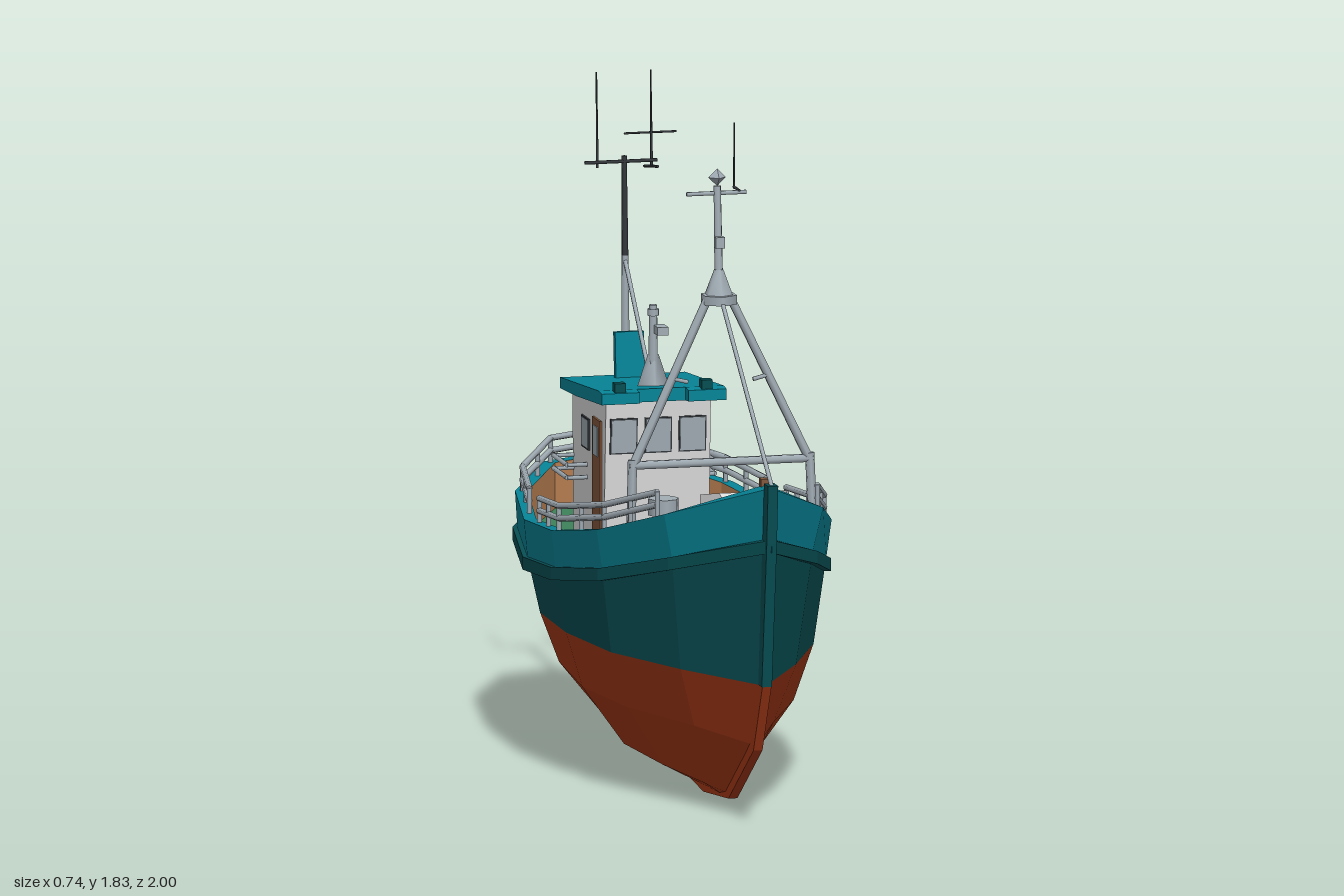
import * as THREE from 'three';

const mat = (name, color) => {
  const m = new THREE.MeshStandardMaterial({ color });
  m.name = name;
  return m;
};
const M = {
  teal: mat('teal', 0x068598), hull: mat('darkTeal', 0x074f54), red: mat('bottomRed', 0xa93a18),
  keel: mat('keelRed', 0x9c2f28), deck: mat('deckGreen', 0x3c8059), tan: mat('tanWood', 0xb98052),
  brown: mat('brownWood', 0x84583c), white: mat('white', 0xdcdcdc), grey: mat('grey', 0xa2adb5),
  dark: mat('darkMetal', 0x34383c),
};

// Hull levels, each running from stern to bow on the +x side
const level = (xs, ys, zs) => xs.map((x, i) => new THREE.Vector3(x, ys[i], zs[i]));
const RAIL = level([0, .155, .30, .36, .365, .325, .22, 0],
  [.70, .695, .668, .652, .68, .74, .835, .95], [-1, -.935, -.67, -.33, 0, .34, .67, .975]);
const RUB = level([0, .15, .295, .35, .355, .31, .195, 0],
  [.605, .60, .57, .55, .58, .635, .715, .81], [-.985, -.92, -.665, -.33, 0, .34, .655, .96]);
const WATER = level([0, .12, .25, .32, .325, .28, .16, 0],
  [.4, .4, .4, .4, .4, .4, .4, .4], [-.92, -.855, -.62, -.31, 0, .32, .61, .915]);
const BILGE = level([0, .09, .20, .27, .28, .23, .11, 0],
  [.32, .31, .28, .265, .25, .245, .235, .22], [-.87, -.80, -.58, -.30, 0, .30, .56, .82]);
const LOWER = level([0, .03, .09, .15, .165, .12, .05, 0],
  [.26, .235, .165, .115, .09, .075, .055, .04], [-.82, -.75, -.52, -.27, 0, .25, .45, .54]);
const BASE = level([0, 0, 0, 0, 0, 0, 0, 0],
  [.25, .21, .14, .07, .04, .012, .02, .035], [-.82, -.75, -.52, -.27, 0, .25, .45, .54]);

const raise = (lv, dy) => lv.map(p => p.clone().setY(p.y + dy));

// Move a level inward in plan by d, with mitred corners
function inset(lv, d) {
  const normal = (a, b) => new THREE.Vector2(b.z - a.z, a.x - b.x).normalize();
  return lv.map((p, i) => {
    const n2 = i < lv.length - 1 ? normal(p, lv[i + 1]) : null;
    const n1 = i > 0 ? normal(lv[i - 1], p) : new THREE.Vector2(-n2.x, n2.y);
    const m = n2 || new THREE.Vector2(-n1.x, n1.y);
    const k = d / (1 + n1.dot(m));
    return new THREE.Vector3(p.x - (n1.x + m.x) * k, p.y, p.z - (n1.y + m.y) * k);
  });
}

export function createModel() {
  const g = new THREE.Group();
  g.name = 'fishingBoat';
  const add = (name, geo, m, x = 0, y = 0, z = 0) => {
    const mesh = new THREE.Mesh(geo, m);
    mesh.name = name;
    mesh.position.set(x, y, z);
    g.add(mesh);
    return mesh;
  };
  const box = (name, m, w, h, d, x, y, z) => add(name, new THREE.BoxGeometry(w, h, d), m, x, y, z);
  const V = (x, y, z) => new THREE.Vector3(x, y, z);
  const rod = (name, m, a, b, r, r2 = r, sides = 6) => {
    const dir = b.clone().sub(a);
    const mesh = add(name, new THREE.CylinderGeometry(r2, r, dir.length(), sides), m);
    mesh.position.copy(a).add(b).multiplyScalar(.5);
    mesh.quaternion.setFromUnitVectors(V(0, 1, 0), dir.normalize());
    return mesh;
  };
  // Flat quads between two levels, mirrored to both sides
  const band = (name, m, A, B) => {
    const pos = [], nor = [];
    for (let i = 0; i < A.length - 1; i++) {
      const a1 = A[i + 1], b1 = B[i + 1], b0 = B[i], a0 = A[i];
      const n = b0.clone().sub(a1).cross(a0.clone().sub(b1)).normalize();
      for (const p of [a1, b1, b0, a1, b0, a0]) pos.push(p.x, p.y, p.z), nor.push(n.x, n.y, n.z);
      for (const p of [b0, b1, a1, a0, b0, a1]) pos.push(-p.x, p.y, p.z), nor.push(-n.x, n.y, n.z);
    }
    const geo = new THREE.BufferGeometry();
    geo.setAttribute('position', new THREE.Float32BufferAttribute(pos, 3));
    geo.setAttribute('normal', new THREE.Float32BufferAttribute(nor, 3));
    add(name, geo, m);
  };
  // Side profile of [z, y] points extruded across x
  const profile = (name, m, pts, width) => {
    const geo = new THREE.ExtrudeGeometry(new THREE.Shape(pts.map(p => new THREE.Vector2(...p))),
      { depth: width, bevelEnabled: false });
    geo.translate(0, 0, -width / 2).rotateY(-Math.PI / 2);
    return add(name, geo, m);
  };

  // Hull shell
  band('bulwarkStripe', M.teal, RAIL, RUB);
  band('topsides', M.hull, RUB, WATER);
  band('bottomUpper', M.red, WATER, BILGE);
  band('bottomMiddle', M.red, BILGE, LOWER);
  band('bottomLower', M.red, LOWER, BASE);

  // Rubbing strake
  const out = inset(RUB, -.013), outLow = raise(out, -.035);
  band('strakeTop', M.hull, RUB, out);
  band('strakeFace', M.hull, out, outLow);
  band('strakeUnderside', M.hull, outLow, raise(inset(RUB, .012), -.035));

  // Rail cap, inner bulwark and deck
  const inner = inset(RAIL, .034);
  const deckY = [.575, .57, .555, .555, .575, .625, .70, .78];
  const deckEdge = inner.map((p, i) => V(p.x, deckY[i], p.z));
  band('railCap', M.teal, inner, RAIL);
  band('innerBulwark', M.tan, deckEdge, inner);
  band('deck', M.deck, deckEdge.map(p => V(0, p.y, p.z)), deckEdge);

  // Stem, forefoot and keel with skeg
  profile('stem', M.hull, [[.955, .96], [1, .96], [.985, .8], [.93, .4], [.89, .4], [.935, .8]], .028);
  profile('forefoot', M.red, [[.93, .4], [.83, .21], [.55, .03], [.27, 0], [.1, .014], [.1, .06],
    [.45, .07], [.78, .25], [.89, .4]], .025);
  profile('skeg', M.keel, [[.1, .014], [-.92, .075], [-.92, .09], [-.84, .09],
    [-.805, .18], [-.825, .28], [-.52, .18], [0, .08], [.1, .06]], .025);
  box('bowPost', M.brown, .026, .2, .026, 0, .865, .905);

  // Hand rails along the bulwark
  const railLine = inset(RAIL, .02);
  const at = z => {
    const i = Math.max(0, Math.min(6, railLine.findIndex(p => p.z > z) - 1));
    const a = railLine[i], b = railLine[i + 1];
    return a.clone().lerp(b, (z - a.z) / (b.z - a.z));
  };
  const railing = zs => {
    for (const s of [1, -1]) {
      const pts = zs.map(z => at(z).multiply(V(s, 1, 1)));
      pts.forEach((p, i) => {
        rod('railPost', M.grey, p, p.clone().setY(p.y + .068), .007);
        if (!i) return;
        for (const h of [.032, .066])
          rod('railBar', M.grey, pts[i - 1].clone().add(V(0, h, 0)), p.clone().add(V(0, h, 0)), .009);
      });
    }
  };
  railing([.6, .47, .34, .17, 0, -.12, -.23]);
  railing([-.4, -.53, railLine[2].z, -.8, railLine[1].z, railLine[0].z]);

  // Wheelhouse and roof with two forward lobes
  profile('wheelhouse', M.white, [[-.305, .55], [-.28, .98], [-.655, .95], [-.645, .55]], .29);
  profile('roof', M.teal, [[-.25, .972], [-.25, 1.008], [-.68, .97], [-.68, .94], [-.5, .95]], .345);
  for (const x of [-.12, .12]) {
    const lobe = profile('roofLobe', M.teal, [[-.215, .975], [-.215, 1.005], [-.25, 1.008], [-.25, .972]], .105);
    lobe.position.x = x;
    box('roofLamp', M.hull, .03, .025, .03, x, 1.018, -.235);
  }
  for (const x of [-.095, 0, .095]) {
    const frame = box('frontWindowFrame', M.dark, .076, .098, .006, x, .875, -.286);
    const pane = box('frontWindow', M.grey, .068, .09, .008, x, .875, -.285);
    frame.rotation.x = pane.rotation.x = .06;
  }
  for (const x of [-.075, .075]) {
    box('rearWindowFrame', M.dark, .072, .082, .008, x, .84, -.652);
    box('rearWindow', M.grey, .062, .072, .009, x, .84, -.654);
  }
  box('door', M.brown, .008, .32, .09, -.147, .75, -.37);
  box('doorWindow', M.grey, .009, .08, .05, -.149, .85, -.37);
  box('sideWindowFrame', M.dark, .006, .085, .08, -.147, .85, -.5);
  box('sideWindow', M.grey, .008, .077, .072, -.147, .85, -.5);
  // Side brackets
  for (const [s, z0] of [[1, -.61], [-1, -.64]]) {
    for (const y of [.73, .765]) {
      rod('sideHandrail', M.grey, V(s * .2, y, z0), V(s * .2, y, z0 + .15), .007);
      for (const z of [z0, z0 + .15]) rod('sideBracket', M.grey, V(s * .14, y, z), V(s * .2, y, z), .006);
    }
  }

  // Roof fittings
  const base = add('funnelBase', new THREE.CylinderGeometry(.015, .045, .09, 4), M.grey, 0, 1.04, -.34);
  base.scale.z = .65;
  rod('funnelPipe', M.grey, V(0, 1.06, -.34), V(0, 1.22, -.34), .013, .011, 8);
  box('horn', M.grey, .03, .022, .05, .015, 1.155, -.315);
  add('funnelCap', new THREE.CylinderGeometry(.016, .016, .018, 8), M.grey, 0, 1.2, -.34);
  const vent = box('roofVent', M.teal, .08, .13, .022, 0, 1.035, -.608);
  vent.rotation.x = -.08;

  // Aft mast with aerials
  rod('aftMastLower', M.grey, V(0, .94, -.645), V(0, 1.3, -.655), .012, .01);
  rod('aftMastUpper', M.dark, V(0, 1.28, -.655), V(0, 1.57, -.662), .01, .007);
  rod('aftStay', M.grey, V(0, 1.0, -.36), V(0, 1.285, -.65), .006);
  rod('aerialBar', M.dark, V(-.11, 1.555, -.66), V(.09, 1.555, -.66), .005);
  rod('aerialArm', M.dark, V(.075, 1.55, -.59), V(.075, 1.525, -.74), .004);
  for (const x of [-.075, .075]) rod('aerial', M.dark, V(x, 1.54, -.66), V(x, 1.8, -.67), .004, .002);
  rod('aerialCross', M.dark, V(.0, 1.63, -.665), V(.145, 1.63, -.665), .003);

  // Fore mast: posts, crossbar, sloping legs and head
  for (const s of [1, -1]) {
    rod('mastPost', M.grey, V(s * .255, .62, .432), V(s * .245, .94, .418), .013);
    rod('mastLeg', M.grey, V(s * .245, .92, .418), V(s * .03, 1.37, .395), .013, .012);
    rod('mastHook', M.grey, V(s * .13, 1.155, .41), V(s * .09, 1.145, .41), .006);
  }
  rod('mastCrossbar', M.grey, V(-.255, .925, .418), V(.255, .925, .418), .012);
  add('mastCollar', new THREE.CylinderGeometry(.05, .05, .025, 6), M.grey, 0, 1.365, .395);
  add('mastCone', new THREE.CylinderGeometry(.013, .04, .07, 6), M.grey, 0, 1.41, .393);
  rod('mastPole', M.grey, V(0, 1.38, .395), V(0, 1.67, .375), .012, .01, 8);
  box('mastLamp', M.grey, .025, .03, .025, 0, 1.52, .4);
  rod('mastYard', M.grey, V(-.085, 1.65, .375), V(.08, 1.65, .375), .006);
  rod('mastArm', M.dark, V(.06, 1.655, .38), V(.06, 1.655, .32), .004);
  rod('mastAerial', M.dark, V(.06, 1.65, .322), V(.06, 1.83, .322), .003, .002);
  add('mastHead', new THREE.OctahedronGeometry(.024), M.grey, 0, 1.693, .374);
  rod('forestay', M.grey, V(0, .955, .985), V(0, 1.37, .42), .006);

  // Bow hatch: tapering block with a sloping front
  const hatch = profile('bowHatch', M.white, [[.67, .68], [.84, .74], [.83, .8], [.745, .9], [.67, .885]], .24);
  const p = hatch.geometry.attributes.position;
  for (let i = 0; i < p.count; i++) p.setX(i, p.getX(i) * (1 - Math.max(0, p.getZ(i) - .67) * 3.8));
  hatch.geometry.computeVertexNormals();

  // Deck ventilator ahead of the wheelhouse
  add('deckVent', new THREE.CylinderGeometry(.026, .03, .12, 8), M.grey, 0, .62, -.225);
  add('deckVentCap', new THREE.CylinderGeometry(.042, .042, .045, 8), M.grey, 0, .69, -.225);
  return g;
}
